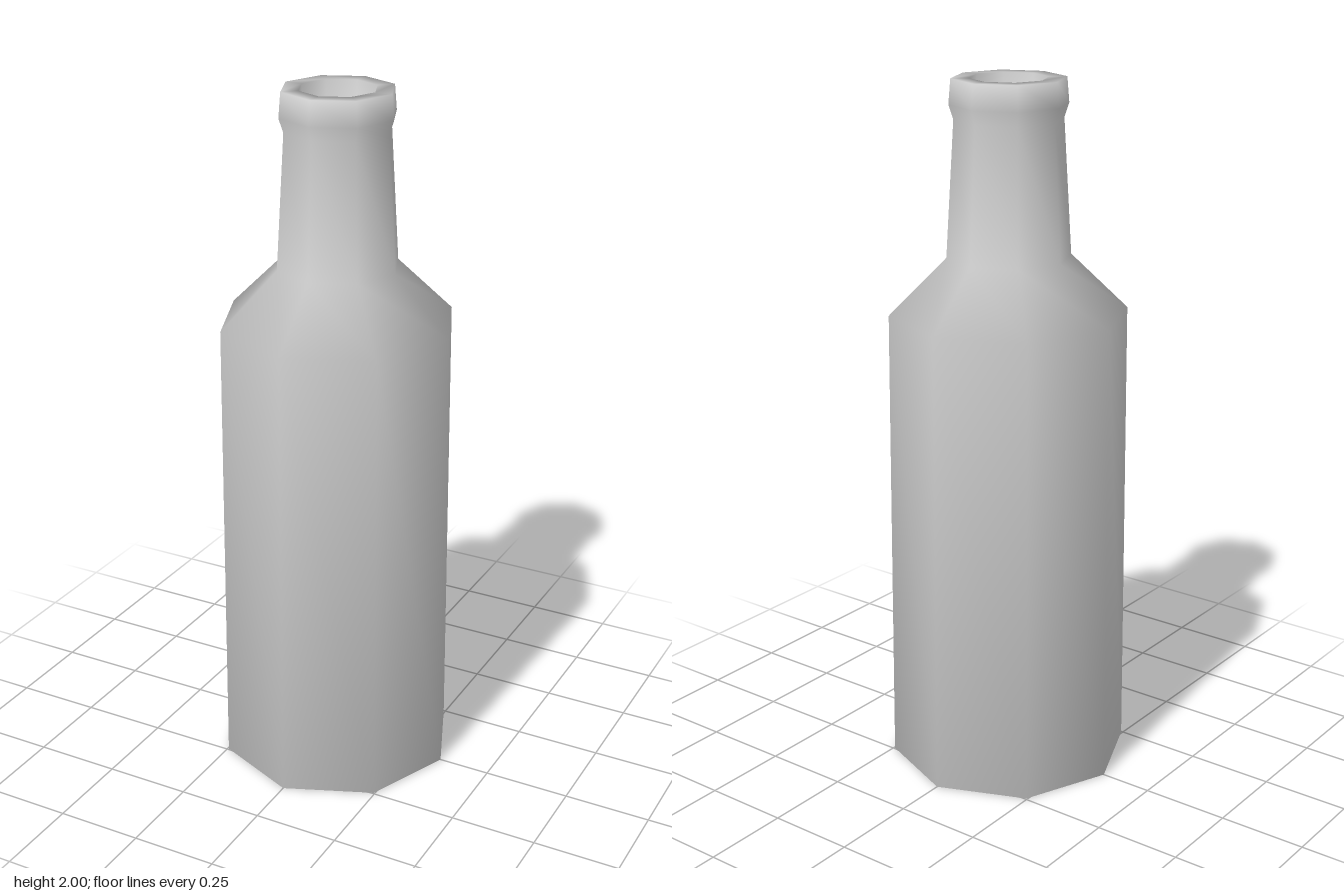
import * as THREE from 'three';

export function createModel() {
  const group = new THREE.Group();
  group.name = 'bottle';
  const grey = new THREE.MeshStandardMaterial({ color: 0xcccccc });
  grey.name = 'light grey';

  // One closed profile: base, body, shoulder, neck, lip, then the mouth recess
  const profile = [
    [0, 0], [0.348, 0], [0.338, 1.35], [0.175, 1.51], [0.152, 1.89],
    [0.165, 1.93], [0.159, 2], [0.11, 2], [0.108, 1.85], [0, 1.85],
  ].map(([r, y]) => new THREE.Vector2(r, y));

  // Eight-sided, smooth-shaded turning
  const bottle = new THREE.Mesh(new THREE.LatheGeometry(profile, 8), grey);
  bottle.name = 'bottleBody';
  group.add(bottle);
  return group;
}
